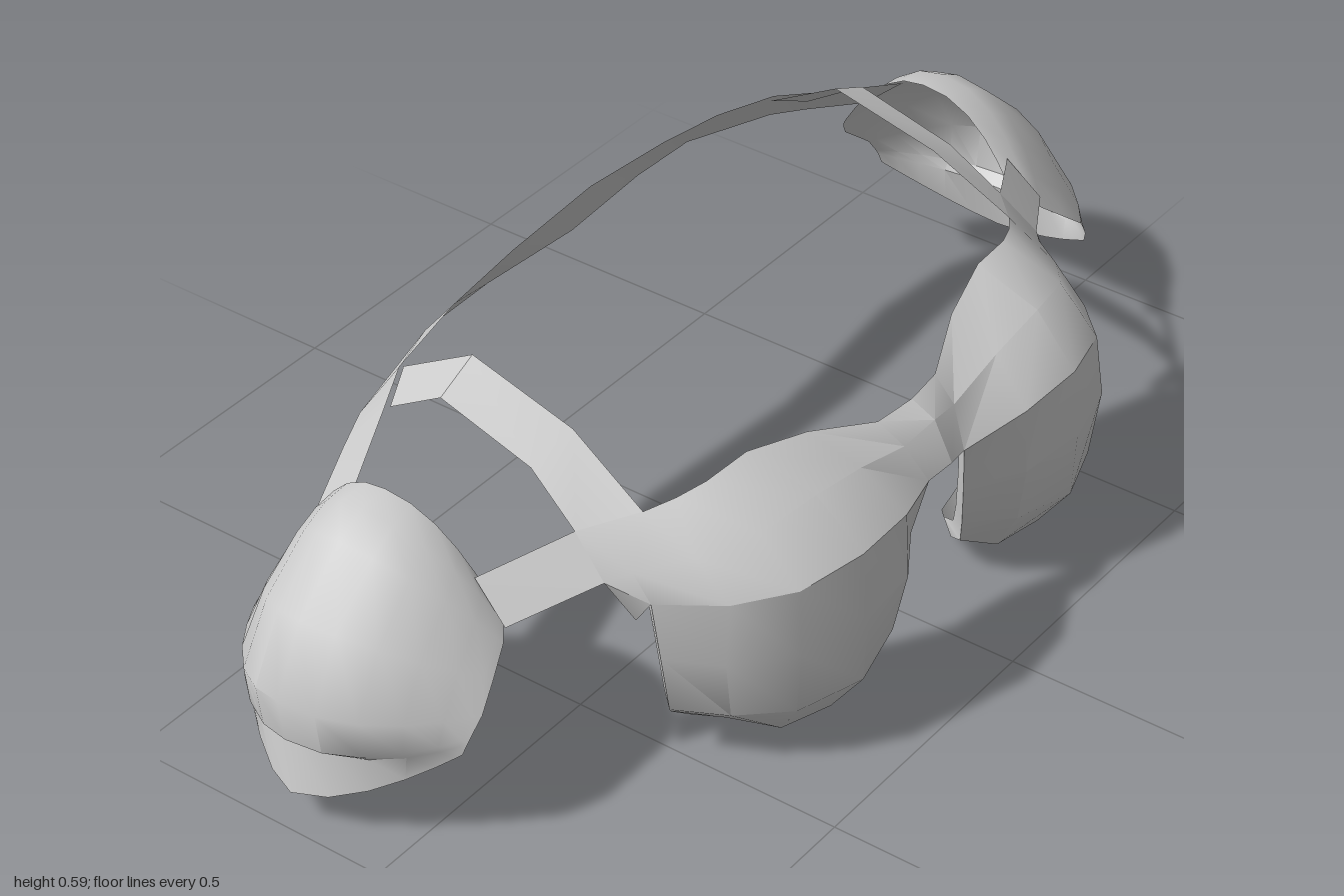
import * as THREE from 'three';
import { toCreasedNormals } from 'three/addons/utils/BufferGeometryUtils.js';

const material = new THREE.MeshStandardMaterial({ color: 0xcccccc, side: THREE.DoubleSide });

// Skin a grid of cross-sections (rows of [x, y, z]); side = -1 mirrors it in x.
function skin(name, rows, side = 1, crease = 0.6) {
  const n = rows[0].length, index = [];
  const pos = rows.flat().flatMap(([x, y, z]) => [x * side, y, z]);
  for (let r = 0; r < rows.length - 1; r++) {
    for (let c = 0; c < n - 1; c++) {
      const a = r * n + c, b = a + n;
      const tris = [[a, b, a + 1], [a + 1, b, b + 1]];
      for (const [i, j, k] of tris) index.push(...(side > 0 ? [i, j, k] : [i, k, j]));
    }
  }
  const geo = new THREE.BufferGeometry();
  geo.setAttribute('position', new THREE.Float32BufferAttribute(pos, 3));
  geo.setIndex(index);
  const mesh = new THREE.Mesh(toCreasedNormals(geo, crease), material);
  mesh.name = name;
  return mesh;
}

// Upper chest: top edge, middle, crease (from the centre out to the strap corner)
const yoke = [
  [[0, .437, .29], [.08, .435, .28], [.2, .465, .23], [.32, .485, .2], [.41, .478, .19], [.46, .468, .17], [.505, .455, .14], [.585, .435, .07]],
  [[0, .415, .335], [.07, .4, .325], [.19, .43, .325], [.31, .45, .325], [.42, .432, .30], [.5, .405, .24], [.565, .385, .165], [.6, .375, .137]],
  [[0, .345, .37], [.05, .335, .36], [.17, .36, .40], [.3, .367, .408], [.42, .355, .375], [.5, .343, .30], [.56, .335, .195], [.56, .29, .165]],
];

// Cup below the crease, from the inner side outwards
const cup = [
  yoke[2].slice(1, 7),
  [[.075, .24, .345], [.17, .24, .405], [.3, .245, .42], [.43, .24, .385], [.51, .23, .30], [.545, .22, .2]],
  [[.105, .14, .325], [.18, .13, .385], [.3, .12, .412], [.42, .115, .37], [.485, .11, .29], [.525, .105, .2]],
  [[.14, .07, .30], [.2, .04, .335], [.3, .035, .35], [.4, .045, .325], [.46, .075, .26], [.522, .1, .2]],
  [[.15, .06, .275], [.21, .018, .235], [.3, 0, .21], [.42, .025, .2], [.475, .062, .2], [.52, .098, .2]],
];

// Rim turned inwards along the open edge of the cup
function cupRim() {
  const edge = [
    ...cup.map((row) => row[0]),
    ...cup[4].slice(1, 5),
    ...cup.map((row) => row[5]).reverse(),
  ];
  const inner = edge.map(([x, y, z]) => [x + (.31 - x) * .09, y + (.26 - y) * .11, z - .025]);
  return [inner, edge];
}

// Shoulder pad arcs: [middle x, middle y, end x, end y, front z, back z, roundness]
const padArcs = [
  [.725, .488, .712, .36, .005, -.345, 2.3],
  [.78, .484, .725, .34, .04, -.355, 2.2],
  [.835, .455, .745, .315, .055, -.365, 2.2],
  [.935, .365, .79, .28, .07, -.372, 2.3],
  [.997, .25, .835, .245, .083, -.375, 2.4],
  [.987, .168, .858, .215, .078, -.375, 2.2],
  [.966, .152, .864, .205, .076, -.374, 2.2],
  [.985, .06, .87, .185, .07, -.37, 1.6],
];

function padRows() {
  return padArcs.map(([mx, my, ex, ey, front, back, round]) => {
    const row = [], mid = -.185;
    for (let i = -6; i <= 6; i++) {
      const s = Math.sin(Math.abs(i) / 6 * Math.PI / 2);
      const k = 1 - Math.pow(s, round);
      row.push([ex + (mx - ex) * k, ey + (my - ey) * k, mid + ((i < 0 ? front : back) - mid) * s]);
    }
    return row;
  });
}

// Straps: two edges each
const overStrap = [
  [[.505, .455, .14], [.49, .54, -.005], [.485, .593, -.205], [.49, .515, -.345]],
  [[.585, .435, .07], [.57, .505, -.025], [.565, .557, -.205], [.56, .49, -.315]],
];
const armStrap = [
  [[.585, .435, .07], [.73, .4, -.01]],
  [[.6, .375, .137], [.74, .34, .055]],
];
const backTop = [[0, .593, -.353], [.2, .575, -.355], [.35, .553, -.355], [.5, .52, -.345], [.58, .5, -.31], [.74, .465, -.24]];
const backLow = [[0, .49, -.395], [.2, .487, -.412], [.35, .475, -.42], [.55, .44, -.39], [.62, .425, -.365], [.74, .395, -.32]];
const mirrored = (edge) => [...edge.slice(1).reverse().map(([x, y, z]) => [-x, y, z]), ...edge];

export function createModel() {
  const model = new THREE.Group();
  model.name = 'chestAndShoulderArmor';
  for (const [label, side] of [['left', 1], ['right', -1]]) {
    const chest = new THREE.Group();
    chest.name = label + 'ChestPlate';
    chest.add(
      skin('upperChest', yoke, side),
      skin('chestCup', cup, side),
      skin('cupRim', cupRim(), side),
    );
    const straps = new THREE.Group();
    straps.name = label + 'Straps';
    straps.add(
      skin('overShoulderStrap', overStrap, side, .3),
      skin('armStrap', armStrap, side),
    );
    model.add(chest, straps, skin(label + 'ShoulderPad', padRows(), side, .7));
  }
  // Back strap joining both shoulder pads
  model.add(skin('backStrap', [mirrored(backLow), mirrored(backTop)]));
  return model;
}
